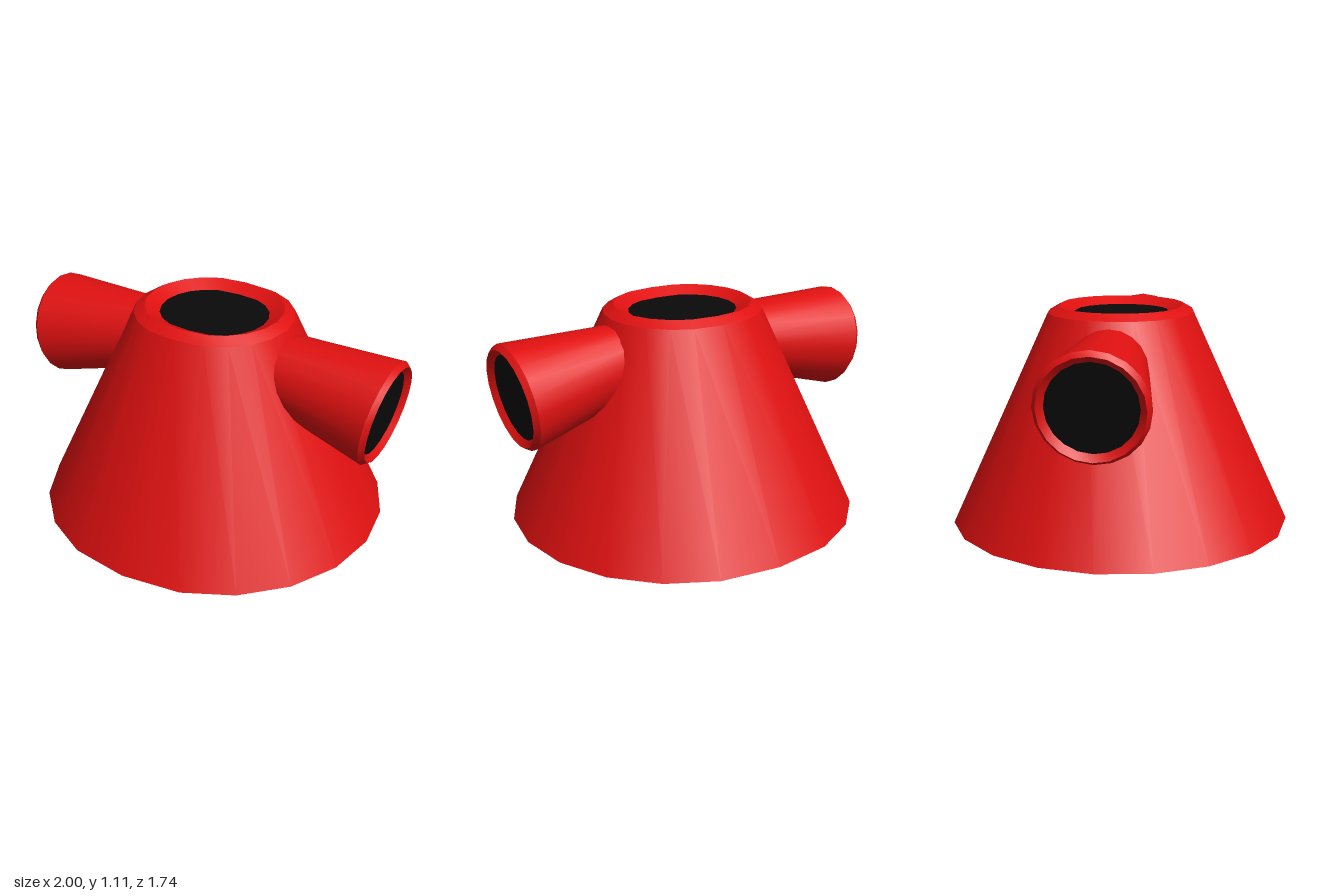
import * as THREE from 'three';
import { toCreasedNormals } from 'three/addons/utils/BufferGeometryUtils.js';

const SIDES = 20;
const red = new THREE.MeshStandardMaterial({ color: 0xe01010, side: THREE.DoubleSide });
const black = new THREE.MeshStandardMaterial({ color: 0x0a0a0a, side: THREE.DoubleSide });

// Push the two halves apart along x, leaving the middle vertices in place
function stretch(geometry, amount) {
  const p = geometry.attributes.position;
  for (let i = 0; i < p.count; i++) {
    const x = p.getX(i);
    if (Math.abs(x) > 1e-4) p.setX(i, x + Math.sign(x) * amount);
  }
  return geometry;
}

// Tapered shell with a bevelled rim, closed by a dark disc at the last profile point
function funnel(name, profile, spread) {
  const group = new THREE.Group();
  group.name = name;
  const points = profile.map(([r, y]) => new THREE.Vector2(r, y));
  const shellGeometry = stretch(new THREE.LatheGeometry(points, SIDES), spread);
  const shell = new THREE.Mesh(toCreasedNormals(shellGeometry, 0.45), red);
  shell.name = name + 'Shell';

  const [r, y] = profile[profile.length - 1];
  const discGeometry = new THREE.CircleGeometry(r, SIDES).rotateX(-Math.PI / 2);
  const disc = new THREE.Mesh(stretch(discGeometry, spread), black);
  disc.name = name + 'Opening';
  disc.position.y = y;
  group.add(shell, disc);
  return group;
}

export function createModel() {
  const model = new THREE.Group();
  model.name = 'threeWayCone';

  // Main cone, open at the bottom
  model.add(funnel('cone', [[0.87, 0], [0.37, 1.075], [0.315, 1.107], [0.24, 1.07]], 0.04));

  // Side nozzles, flaring outward and tilted slightly down
  for (const side of ['left', 'right']) {
    const nozzle = funnel(side + 'Nozzle', [[0.185, -0.57], [0.268, 0], [0.247, 0.027], [0.215, 0]], 0);
    nozzle.position.set(0.936, 0.775, 0);
    nozzle.rotation.z = -THREE.MathUtils.degToRad(98.5);
    const arm = new THREE.Group();
    arm.name = side + 'Arm';
    arm.rotation.y = side === 'left' ? 0 : Math.PI;
    arm.add(nozzle);
    model.add(arm);
  }
  return model;
}
